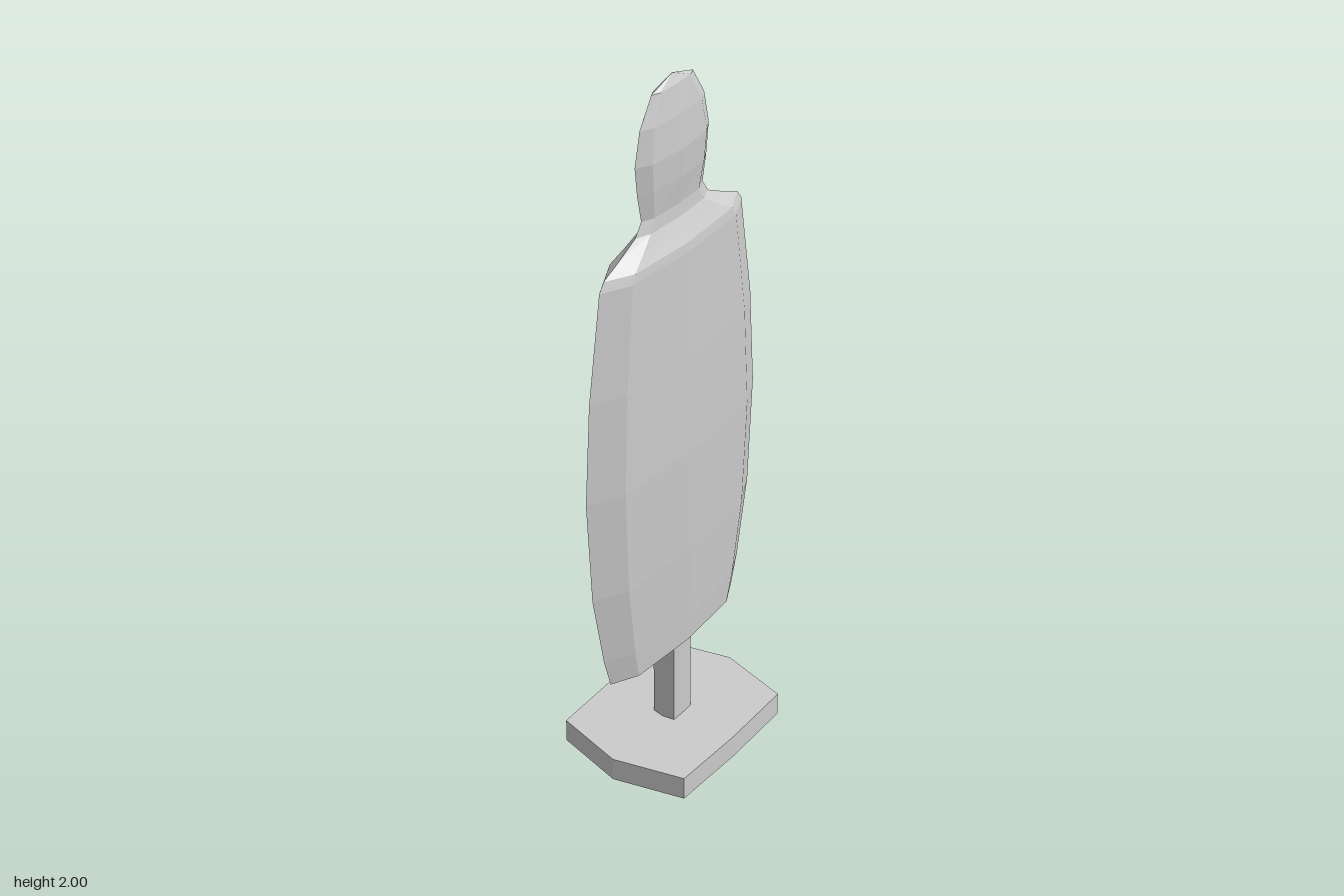
import * as THREE from 'three';

const material = new THREE.MeshStandardMaterial({ color: 0xcccccc, flatShading: true });

// Eight-sided section, as fractions of the half width (x) and half depth (z)
const section = (cornerX, cornerZ) => [
  [0, 1], [cornerX, cornerZ], [1, 0], [cornerX, -cornerZ],
  [0, -1], [-cornerX, -cornerZ], [-1, 0], [-cornerX, cornerZ],
];

// Stacks scaled copies of a section; rings are [y, halfX, halfZ] from bottom to top
function loft(name, outline, rings) {
  const n = outline.length;
  const positions = [];
  const indices = [];
  for (const [y, w, d] of rings) {
    for (const [x, z] of outline) positions.push(x * w, y, z * d);
  }
  const bottom = n * rings.length;
  const top = bottom + 1;
  positions.push(0, rings[0][0], 0, 0, rings[rings.length - 1][0], 0);
  for (let i = 0; i < n; i++) {
    const j = (i + 1) % n;
    for (let r = 0; r < rings.length - 1; r++) {
      const a = r * n + i, b = r * n + j;
      indices.push(a, b, b + n, a, b + n, a + n);
    }
    const last = (rings.length - 1) * n;
    indices.push(bottom, j, i, top, last + i, last + j);
  }
  const geometry = new THREE.BufferGeometry();
  geometry.setAttribute('position', new THREE.Float32BufferAttribute(positions, 3));
  geometry.setIndex(indices);
  const flat = geometry.toNonIndexed();
  flat.computeVertexNormals();
  const mesh = new THREE.Mesh(flat, material);
  mesh.name = name;
  return mesh;
}

export function createModel() {
  const group = new THREE.Group();
  group.name = 'targetDummy';

  // Foot plate with shallow points at front and back
  const base = loft('base', section(0.97, 0.81), [[0, 0.205, 0.268], [0.07, 0.205, 0.268]]);
  base.position.z = -0.002;
  group.add(base);

  // Post between the plate and the torso
  group.add(loft('post', section(0.97, 0.86), [[0.07, 0.035, 0.044], [0.33, 0.035, 0.044]]));

  // Thin torso, shoulders, neck and head in one silhouette
  group.add(loft('body', section(0.75, 0.73), [
    [0.317, 0.037, 0.2],
    [0.33, 0.05, 0.27],
    [0.42, 0.055, 0.296],
    [0.645, 0.063, 0.339],
    [0.955, 0.067, 0.357],
    [1.24, 0.063, 0.337],
    [1.535, 0.054, 0.29],
    [1.56, 0.051, 0.272],
    [1.588, 0.037, 0.21],
    [1.62, 0.022, 0.148],
    [1.655, 0.019, 0.124],
    [1.73, 0.028, 0.139],
    [1.81, 0.032, 0.148],
    [1.9, 0.025, 0.128],
    [1.975, 0.013, 0.082],
    [2, 0.001, 0.004],
  ]));

  return group;
}
